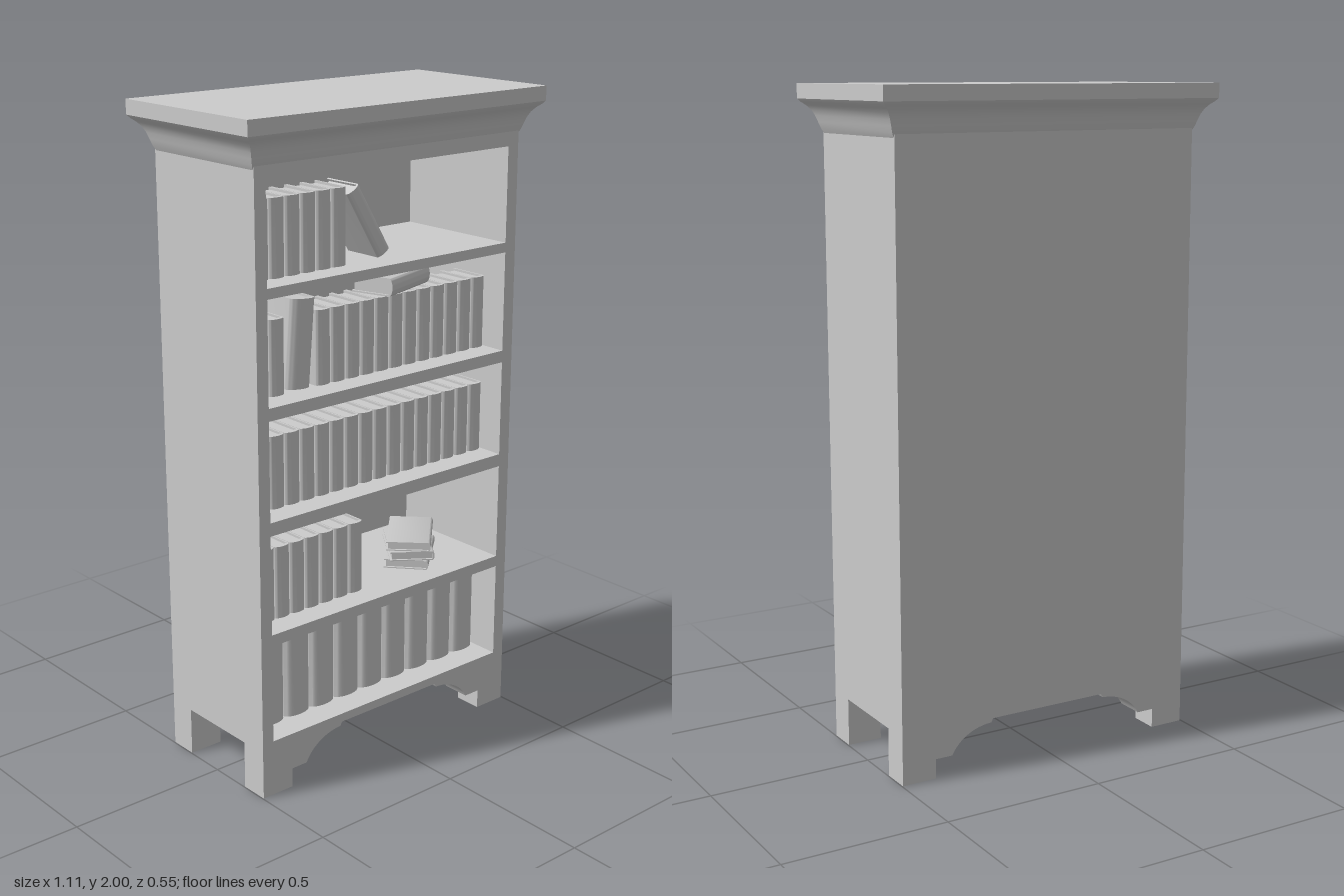
import * as THREE from 'three';
import { toCreasedNormals } from 'three/addons/utils/BufferGeometryUtils.js';

const HX = 0.497, HZ = 0.225;          // half width and half depth of the case
const BASE = 0.148;                    // underside of the case
const SPINE_Z = 0.148;                 // where the standing books' spines line up
const mat = new THREE.MeshStandardMaterial({ color: 0xcccccc });
const openMat = new THREE.MeshStandardMaterial({ color: 0xcccccc, side: THREE.DoubleSide });

function add(parent, name, geometry, x = 0, y = 0, z = 0, material = mat) {
  const mesh = new THREE.Mesh(geometry, material);
  mesh.name = name;
  mesh.position.set(x, y, z);
  parent.add(mesh);
  return mesh;
}

function polygon(points) {
  return new THREE.Shape(points.map(([x, y]) => new THREE.Vector2(x, y)));
}

function rect(x0, x1, y0, y1) {
  return polygon([[x0, y0], [x1, y0], [x1, y1], [x0, y1]]);
}

function extrude(shape, depth, curveSegments = 12) {
  return new THREE.ExtrudeGeometry(shape, { depth, bevelEnabled: false, curveSegments });
}

// Book standing on y = 0, spine towards +z: folded cover round a page block
function makeBook(w, h, d) {
  const book = new THREE.Group();
  book.name = 'book';
  const t = Math.min(0.005, w * 0.12), bulge = w * 0.24, a = w / 2;
  const front = -d / 2 + bulge;        // shape y is -z
  const s = new THREE.Shape();
  s.moveTo(-a, d / 2);
  s.lineTo(-a, front);
  s.absellipse(0, front, a, bulge, Math.PI, 2 * Math.PI, false);
  s.lineTo(a, d / 2);
  s.lineTo(a - t, d / 2);
  s.lineTo(a - t, front);
  s.lineTo(t - a, front);
  s.lineTo(t - a, d / 2);
  s.closePath();
  const cover = extrude(s, h, 8);
  cover.rotateX(-Math.PI / 2);
  add(book, 'bookCover', toCreasedNormals(cover, 0.7));
  const pd = d - bulge - 0.006;
  add(book, 'bookPages', new THREE.BoxGeometry(w - 2 * t, h - 0.014, pd), 0, h / 2, -front - pd / 2);
  return book;
}

// Row of equal upright books between x0 and x1
function bookRow(parent, x0, x1, count, y, h, d = 0.14) {
  const pitch = (x1 - x0) / count;
  for (let i = 0; i < count; i++) {
    const book = makeBook(pitch - 0.002, h, d);
    book.position.set(x0 + pitch * (i + 0.5), y, SPINE_Z - d / 2);
    parent.add(book);
  }
}

// Upright book tilted sideways; x, y is the middle of its foot
function leaningBook(parent, x, y, w, h, tilt) {
  const book = makeBook(w, h, 0.14);
  book.name = 'leaningBook';
  book.position.set(x, y, SPINE_Z - 0.07);
  book.rotation.z = tilt;
  parent.add(book);
}

// Book lying on its side, turned about the vertical; x, z is its centre
function lyingBook(parent, x, y, z, w, h, d, turn) {
  const holder = new THREE.Group();
  holder.name = 'lyingBook';
  const book = makeBook(w, h, d);
  book.rotation.z = -Math.PI / 2;
  book.position.set(-h / 2, w / 2, 0);
  holder.add(book);
  holder.position.set(x, y, z);
  holder.rotation.y = turn;
  parent.add(holder);
}

export function createModel() {
  const model = new THREE.Group();
  model.name = 'bookcase';

  // Case with five shelf openings
  const body = rect(-HX, HX, BASE, 1.956);
  const openings = [[0.175, 0.48], [0.515, 0.82], [0.86, 1.16], [1.197, 1.505], [1.535, 1.825]];
  for (const [y0, y1] of openings) body.holes.push(rect(-0.458, 0.456, y0, y1));
  add(model, 'caseAndShelves', extrude(body, 2 * HZ - 0.025), 0, 0, -HZ + 0.025);
  add(model, 'backPanel', new THREE.BoxGeometry(2 * HX, 1.956 - BASE, 0.025),
    0, (1.956 + BASE) / 2, -HZ + 0.0125);

  // Four feet with curved brackets
  for (const side of [-1, 1]) {
    const s = new THREE.Shape();
    s.moveTo(side * HX, 0);
    s.lineTo(side * 0.388, 0);
    s.lineTo(side * 0.388, 0.06);
    s.lineTo(side * 0.333, 0.06);
    s.bezierCurveTo(side * 0.31, 0.105, side * 0.26, 0.134, side * 0.2, 0.136);
    s.lineTo(side * 0.193, BASE);
    s.lineTo(side * HX, BASE);
    s.closePath();
    const foot = toCreasedNormals(extrude(s, 0.09), 0.4);
    add(model, 'frontFoot', foot, 0, 0, HZ - 0.09);
    add(model, 'backFoot', foot, 0, 0, -HZ);
  }

  // Crown moulding: four-sided lathe pushed out to the case's rectangle
  const profile = [[0.001, 1.858], [0.008, 1.872], [0.014, 1.89], [0.02, 1.908], [0.028, 1.924],
    [0.039, 1.937], [0.051, 1.947], [0.058, 1.956]];
  const crown = new THREE.LatheGeometry(
    profile.map(([o, y]) => new THREE.Vector2(o * Math.SQRT2, y)), 4);
  crown.rotateY(Math.PI / 4);
  const p = crown.attributes.position;
  for (let i = 0; i < p.count; i++) {
    p.setX(i, p.getX(i) + Math.sign(p.getX(i)) * (HX - 0.001));
    p.setZ(i, p.getZ(i) + Math.sign(p.getZ(i)) * (HZ - 0.006));
  }
  add(model, 'crownMoulding', toCreasedNormals(crown, 0.7), 0, 0, 0, openMat);
  add(model, 'topSlab', new THREE.BoxGeometry(1.11, 0.044, 0.554), 0, 1.978, 0);

  // Books, from the top shelf down
  const books = new THREE.Group();
  books.name = 'books';
  model.add(books);
  bookRow(books, -0.44, -0.105, 6, 1.535, 0.225);
  leaningBook(books, 0.037, 1.551, 0.05, 0.23, 0.54);

  bookRow(books, -0.445, -0.333, 2, 1.197, 0.223);
  leaningBook(books, -0.281, 1.201, 0.088, 0.262, -0.08);
  bookRow(books, -0.22, 0.455, 12, 1.197, 0.223);
  lyingBook(books, 0.132, 1.42, 0.07, 0.055, 0.22, 0.14, 0.3);

  bookRow(books, -0.45, 0.454, 16, 0.86, 0.22);

  bookRow(books, -0.435, -0.04, 7, 0.515, 0.225);
  [[0.25, 0.72], [0.243, 0.95], [0.25, 0.78]].forEach(([x, turn], i) =>
    lyingBook(books, x, 0.515 + i * 0.03, 0.04, 0.029, 0.225, 0.14, turn));

  bookRow(books, -0.442, 0.445, 9, 0.178, 0.278, 0.16);
  return model;
}
